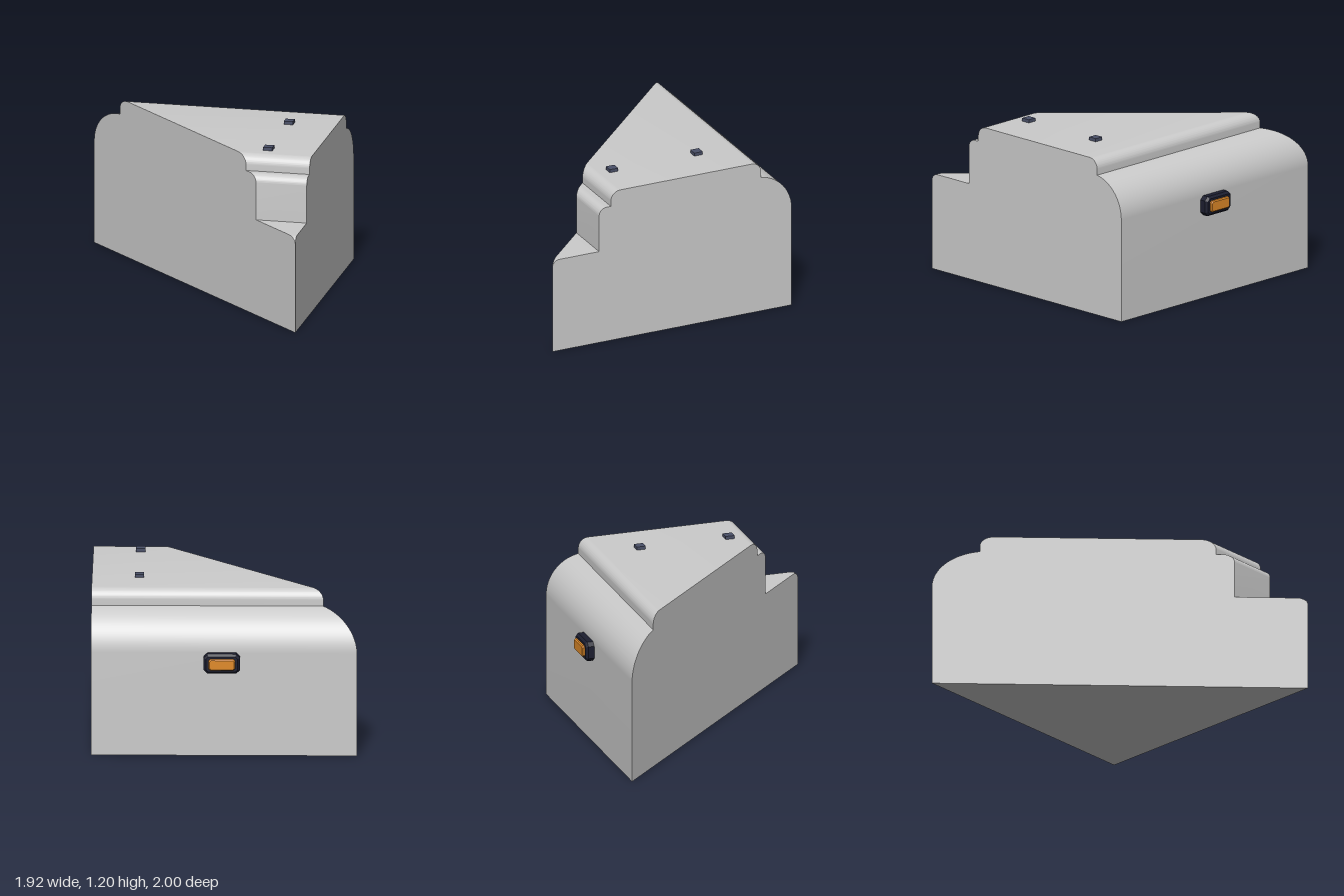
import * as THREE from 'three';
import { toCreasedNormals } from 'three/addons/utils/BufferGeometryUtils.js';

const RIGHT = 0.96; // flat side wall
const material = (color) => new THREE.MeshStandardMaterial({ color });

function addMesh(group, name, geometry, mat) {
  const mesh = new THREE.Mesh(geometry, mat);
  mesh.name = name;
  group.add(mesh);
  return mesh;
}

// Stepped, rounded profile swept along x; one end is cut on the diagonal x = z - 0.04
function wedgeGeometry() {
  const q = Math.PI / 2;
  const s = new THREE.Shape();
  s.moveTo(-1, 0);
  s.lineTo(0.92, 0);
  s.lineTo(0.92, 0.77);
  s.absarc(0.63, 0.766, 0.29, 0, Math.acos(0.045 / 0.29), false); // big back shoulder
  s.lineTo(0.675, 1.096);
  s.absarc(0.6, 1.096, 0.075, 0, q, false);
  s.lineTo(-0.455, 1.171);
  s.absarc(-0.455, 1.096, 0.075, q, Math.PI, false);
  s.lineTo(-0.53, 1.055);
  s.lineTo(-0.565, 1.055);
  s.absarc(-0.565, 0.995, 0.06, q, Math.PI, false);
  s.lineTo(-0.625, 0.717);
  s.lineTo(-0.945, 0.717);
  s.absarc(-0.945, 0.662, 0.055, q, Math.PI, false);
  s.lineTo(-1, 0);

  const g = new THREE.ExtrudeGeometry(s, { depth: 1, bevelEnabled: false, curveSegments: 16 });
  g.rotateY(Math.PI / 2);
  const p = g.attributes.position;
  for (let i = 0; i < p.count; i++) {
    const cut = p.getZ(i) - 0.04;
    p.setX(i, THREE.MathUtils.lerp(cut, RIGHT, p.getX(i)));
  }
  return toCreasedNormals(g, 0.4);
}

// Block with clipped corners and a chamfered outer face at z = -outer
function chamferedBlock(w, h, corner, bevel, inner, outer) {
  const a = w / 2 - bevel, b = h / 2 - bevel, c = corner;
  const s = new THREE.Shape([
    [-a + c, -b], [a - c, -b], [a, -b + c], [a, b - c],
    [a - c, b], [-a + c, b], [-a, b - c], [-a, -b + c],
  ].map(([x, y]) => new THREE.Vector2(x, y)));
  const g = new THREE.ExtrudeGeometry(s, {
    depth: outer - inner - bevel, bevelEnabled: true,
    bevelSize: bevel, bevelThickness: bevel, bevelSegments: 1,
  });
  g.translate(0, 0, inner);
  g.rotateY(Math.PI);
  return g;
}

export function createModel() {
  const model = new THREE.Group();
  model.name = 'wedgeBlock';

  addMesh(model, 'wedgeBody', wedgeGeometry(), material(0xcccccc));

  // Two small square studs on the roof
  const studMat = material(0x4a5068);
  for (const z of [-0.323, 0.355]) {
    addMesh(model, 'roofStud', new THREE.BoxGeometry(0.067, 0.045, 0.067), studMat)
      .position.set(0.618, 1.1725, z);
  }

  // Lamp on the back wall
  const lamp = new THREE.Group();
  lamp.name = 'backLamp';
  lamp.position.set(0.015, 0.699, 0);
  addMesh(lamp, 'lampHousing', chamferedBlock(0.262, 0.146, 0.018, 0.016, 0.9, 0.98), material(0x1c1e30));
  addMesh(lamp, 'lampLens', chamferedBlock(0.19, 0.084, 0.008, 0.008, 0.95, 1.0), material(0xe08a28));
  model.add(lamp);

  return model;
}
